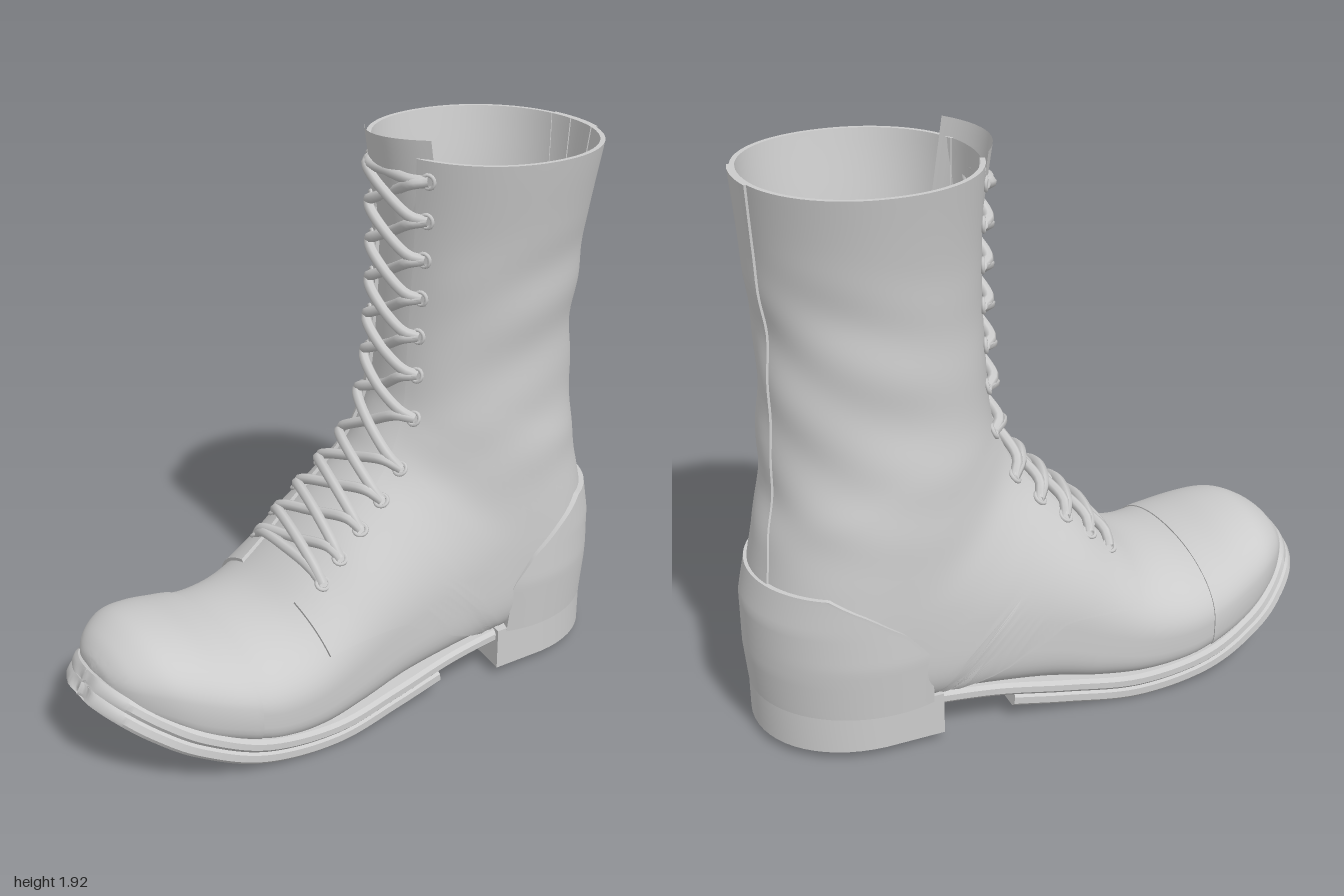
import * as THREE from 'three';
import { mergeVertices, toCreasedNormals } from 'three/addons/utils/BufferGeometryUtils.js';

const mat = new THREE.MeshStandardMaterial({ color: 0xcccccc, side: THREE.DoubleSide });
const V = (x, y, z) => new THREE.Vector3(x, y, z);
const { lerp, clamp, smoothstep } = THREE.MathUtils;
const spline = (pts) => new THREE.CatmullRomCurve3(pts, false, 'catmullrom', 0.5);

// Sections fanning from toe to collar: front x,y, back x,y, half width, back squareness
const SECTIONS = [
  [-0.94, 0.34, -0.94, 0.33, 0.01, 0.6],
  [-0.925, 0.375, -0.925, 0.29, 0.11, 0.5],
  [-0.88, 0.42, -0.88, 0.25, 0.195, 0.45],
  [-0.8, 0.455, -0.8, 0.2, 0.27, 0.45],
  [-0.7, 0.45, -0.7, 0.14, 0.32, 0.45],
  [-0.58, 0.42, -0.58, 0.1, 0.358, 0.45],
  [-0.46, 0.402, -0.45, 0.06, 0.373, 0.45],
  [-0.34, 0.435, -0.28, 0.05, 0.375, 0.45],
  [-0.22, 0.53, -0.1, 0.07, 0.366, 0.45],
  [-0.1, 0.65, 0.1, 0.11, 0.357, 0.45],
  [0.0, 0.75, 0.4, 0.14, 0.347, 0.45],
  [0.07, 0.83, 0.7, 0.15, 0.338, 0.5],
  [0.11, 0.9, 0.94, 0.17, 0.334, 0.7],
  [0.145, 0.97, 0.96, 0.45, 0.325, 0.9],
  [0.165, 1.03, 0.92, 0.72, 0.313, 1],
  [0.175, 1.12, 0.885, 0.9, 0.3, 1],
  [0.18, 1.25, 0.865, 1.18, 0.29, 1],
  [0.185, 1.42, 0.865, 1.4, 0.298, 1],
  [0.185, 1.62, 0.88, 1.62, 0.325, 1],
  [0.175, 1.855, 0.895, 1.855, 0.37, 0.95],
];
const LAST = SECTIONS.length - 1;
const frontLine = spline(SECTIONS.map((s) => V(s[0], s[1], 0)));
const backLine = spline(SECTIONS.map((s) => V(s[2], s[3], 0)));
const shapeLine = spline(SECTIONS.map((s) => V(s[4], s[5], 0)));

// Point on the upper: s = section number, a = angle round it (0 = front), off = lift
function upper(s, a, off = 0) {
  const u = clamp(s / LAST, 0, 1);
  const F = frontLine.getPoint(u), B = backLine.getPoint(u), k = shapeLine.getPoint(u);
  const M = F.clone().lerp(B, lerp(0.58, 0.5, smoothstep(s, 9, 14)));
  const c = Math.cos(a), sn = Math.sin(a), e = c > 0 ? 0.95 : k.y;
  const p = M.clone().lerp(c > 0 ? F : B, Math.pow(Math.abs(c), e));
  // Round the heel off in plan, fading out up the shaft
  const round = Math.sqrt(Math.max(0, 1 - Math.pow(Math.max(0, p.x - 0.6) / 0.365, 2)));
  const limit = round * lerp(0.39, 0.342, smoothstep(p.x, 0, 0.6));
  const w = k.x * Math.pow(Math.abs(sn), e);
  p.z = Math.sign(sn) * lerp(Math.min(w, limit), w, smoothstep(p.y, 0.5, 0.85));
  // Soft leather folds
  const fold = 0.004 * smoothstep(p.y, 0.6, 0.9) * (1 - smoothstep(p.y, 1.4, 1.7));
  const wave = Math.sin(13 * p.y + 3 * sn) + Math.sin(23 * p.y - 4 * sn + 3 * c);
  const dir = p.clone().sub(M);
  if (dir.lengthSq() > 1e-10)
    p.addScaledVector(dir.normalize(), off + fold * wave * (1 - Math.max(0, c)));
  p.z += -0.01 - 0.01 * smoothstep(p.x, -0.4, 0) + 0.04 * smoothstep(p.y, 0.6, 1.86);
  return p;
}

// Surface from fn(u, v), u and v in 0..1
function grid(fn, nu, nv, crease = 0) {
  const pos = [], idx = [];
  for (let i = 0; i <= nu; i++)
    for (let j = 0; j <= nv; j++) {
      pos.push(...fn(i / nu, j / nv).toArray());
      if (i < nu && j < nv) {
        const p = i * (nv + 1) + j, q = p + nv + 1;
        idx.push(p, p + 1, q, p + 1, q + 1, q);
      }
    }
  let g = new THREE.BufferGeometry();
  g.setAttribute('position', new THREE.Float32BufferAttribute(pos, 3));
  g.setIndex(idx);
  g = mergeVertices(g, 1e-5);
  if (crease) return toCreasedNormals(g, crease);
  g.computeVertexNormals();
  return g;
}

// Raised panel: its border row is pressed down to close the edge
function panel(fn, nu, nv, off) {
  const inner = (t, n) => clamp((t * n - 1) / (n - 2), 0, 1);
  const edge = (t) => t < 1e-6 || t > 1 - 1e-6;
  return grid((u, v) => fn(inner(u, nu), inner(v, nv), edge(u) || edge(v) ? -0.004 : off), nu, nv, 0.8);
}

// Piecewise value from [key, value] pairs
function along(table, x) {
  for (let i = 1; i < table.length; i++) {
    const [x0, y0] = table[i - 1], [x1, y1] = table[i];
    if (x <= x1) return lerp(y0, y1, clamp((x - x0) / (x1 - x0), 0, 1));
  }
  return table[table.length - 1][1];
}

// Top line of the sole: x, height, half width
const soleLine = spline([
  [-0.957, 0.346, 0], [-0.945, 0.34, 0.09], [-0.9, 0.312, 0.185], [-0.81, 0.252, 0.272], [-0.69, 0.185, 0.333],
  [-0.5, 0.115, 0.374], [-0.25, 0.09, 0.378], [0, 0.118, 0.352], [0.25, 0.155, 0.325], [0.5, 0.172, 0.305],
  [0.7, 0.173, 0.288], [0.85, 0.173, 0.23], [0.94, 0.173, 0.12], [0.96, 0.173, 0],
].map((p) => V(...p)));

// Layer of the sole between two depths square to its top line, up to fraction uEnd of its length
function soleLayer(d0, d1, scale, uEnd) {
  const n = 90, b = 0.012;
  return grid((u, v) => {
    const at = Math.min(1, (u * n) / (n - 1)) * uEnd;
    const p = soleLine.getPoint(at), t = soleLine.getTangent(at).setZ(0).normalize();
    const w = u > 1 - 1e-6 ? 0 : Math.max(0, p.z * scale), wi = Math.max(0, w - b);
    const ring = [[0, d0], [wi, d0], [w, d0 + b], [w, d1 - b], [wi, d1], [0, d1],
      [-wi, d1], [-w, d1 - b], [-w, d0 + b], [-wi, d0], [0, d0]];
    const [z, d] = ring[Math.round(v * 10)];
    return V(p.x + t.y * d, p.y - t.x * d, z - 0.012);
  }, n, 10, 0.6);
}

export function createModel() {
  const boot = new THREE.Group();
  boot.name = 'boot';
  const add = (name, geo) => {
    const m = new THREE.Mesh(geo, mat);
    m.name = name;
    boot.add(m);
    return m;
  };

  // Upper and its overlaid leather panels
  add('upper', grid((u, v) => upper(u * LAST, v * Math.PI * 2), 114, 64));
  add('toeCap', panel((u, v, o) => upper(u * 5.4, lerp(-2.6, 2.6, v), o), 34, 48, 0.005));
  const gap = (s) => along([[7.5, 0.43], [10, 0.4], [13, 0.34], [19, 0.3]], s);
  const hem = (s) => along([[7.4, 1.15], [8, 1.26], [9, 1.5], [9.5, 1.66], [10, 2.2], [10.3, 3], [11, Math.PI]], s);
  for (const side of [1, -1])
    add(side > 0 ? 'leftQuarter' : 'rightQuarter', panel((u, v, o) => {
      const s = lerp(7.4, LAST, u);
      return upper(s, side * lerp(gap(s), hem(s), side > 0 ? v : 1 - v), o);
    }, 90, 34, 0.012));
  add('backStay', panel((u, v, o) => {
    const s = lerp(13, LAST, u), half = lerp(0.4, 0.27, smoothstep(s, 13, 15));
    return upper(s, Math.PI - 0.05 + lerp(-half, half, v), o);
  }, 40, 10, 0.02));

  // Heel counter wrapping the back of the foot
  add('heelCounter', panel((u, v, o) => {
    const y = lerp(0.165, 0.595, u), drop = o < 0 ? 0.03 : 0;
    const t = lerp(1, -1, v) * along([[0.15, 1.9], [0.35, 1.86], [0.45, 1.65], [0.53, 1.35], [0.595, 1]], y);
    const r = along([[0.15, 0.382], [0.3, 0.395], [0.48, 0.395], [0.595, 0.37]], y) - drop;
    const w = along([[0.15, 0.348], [0.35, 0.364], [0.595, 0.354]], y) - drop;
    return V(0.6 + r * Math.cos(t), y, w * Math.sin(t) - 0.018);
  }, 24, 44, 0));

  // Tongue standing above the collar
  add('tongue', grid((u, v) => {
    const z = lerp(-0.17, 0.18, v);
    return V(0.13 + 2.3 * z * z + 0.05 * (1 - u), lerp(1.6, 1.905 + 0.06 * z, u), z);
  }, 8, 12));

  // Sole and heel
  add('welt', soleLayer(0, 0.045, 1, 1));
  add('outsole', soleLayer(0.042, 0.09, 0.985, 0.595));
  const heel = new THREE.Shape();
  heel.moveTo(0.44, -0.325);
  heel.lineTo(0.64, -0.325);
  heel.bezierCurveTo(0.84, -0.315, 0.98, -0.18, 0.98, 0);
  heel.bezierCurveTo(0.98, 0.18, 0.84, 0.315, 0.64, 0.325);
  heel.lineTo(0.44, 0.325);
  heel.quadraticCurveTo(0.5, 0, 0.44, -0.325);
  const block = new THREE.ExtrudeGeometry(heel, { depth: 0.148, bevelEnabled: false, curveSegments: 14 });
  block.rotateX(-Math.PI / 2).translate(0, 0.03, -0.012);
  add('heel', toCreasedNormals(block, 0.6));

  // Eyelets and crossed laces
  const rows = [0.54, 0.61, 0.69, 0.77, 0.86, 1.0, 1.14, 1.27, 1.4, 1.53, 1.66, 1.79].map((y) => {
    let lo = 7, hi = LAST;
    for (let i = 0; i < 24; i++) {
      const m = (lo + hi) / 2;
      if (frontLine.getPoint(m / LAST).y < y) lo = m; else hi = m;
    }
    return lo;
  });
  const hole = (s, side, off) => upper(s, side * (gap(s) + 0.13), off);
  const lace = (name, pts) => add(name, new THREE.TubeGeometry(new THREE.CatmullRomCurve3(pts), 18, 0.018, 7));
  rows.forEach((s, i) => {
    for (const side of [1, -1]) {
      const p = hole(s, side, 0.016);
      const ring = add('eyelet', new THREE.TorusGeometry(0.021, 0.007, 6, 14));
      ring.position.copy(p);
      ring.lookAt(hole(s, side, 0.2));
      if (i === rows.length - 1) continue;
      const n = rows[i + 1], mid = (s + n) / 2, lift = side > 0 ? 0.032 : 0.006;
      lace('lace', [
        hole(s, side, 0.014), upper(s + (n - s) * 0.08, side * gap(s), 0.032),
        upper(mid, 0, lift), upper(n - (n - s) * 0.08, -side * gap(n), 0.034), hole(n, -side, 0.014),
      ]);
    }
  });
  for (const s of [rows[0], rows[rows.length - 1]])
    lace('laceBar', [hole(s, 1, 0.014), upper(s, gap(s) * 0.9, 0.027), upper(s, 0, 0.016),
      upper(s, -gap(s) * 0.9, 0.027), hole(s, -1, 0.014)]);
  return boot;
}
